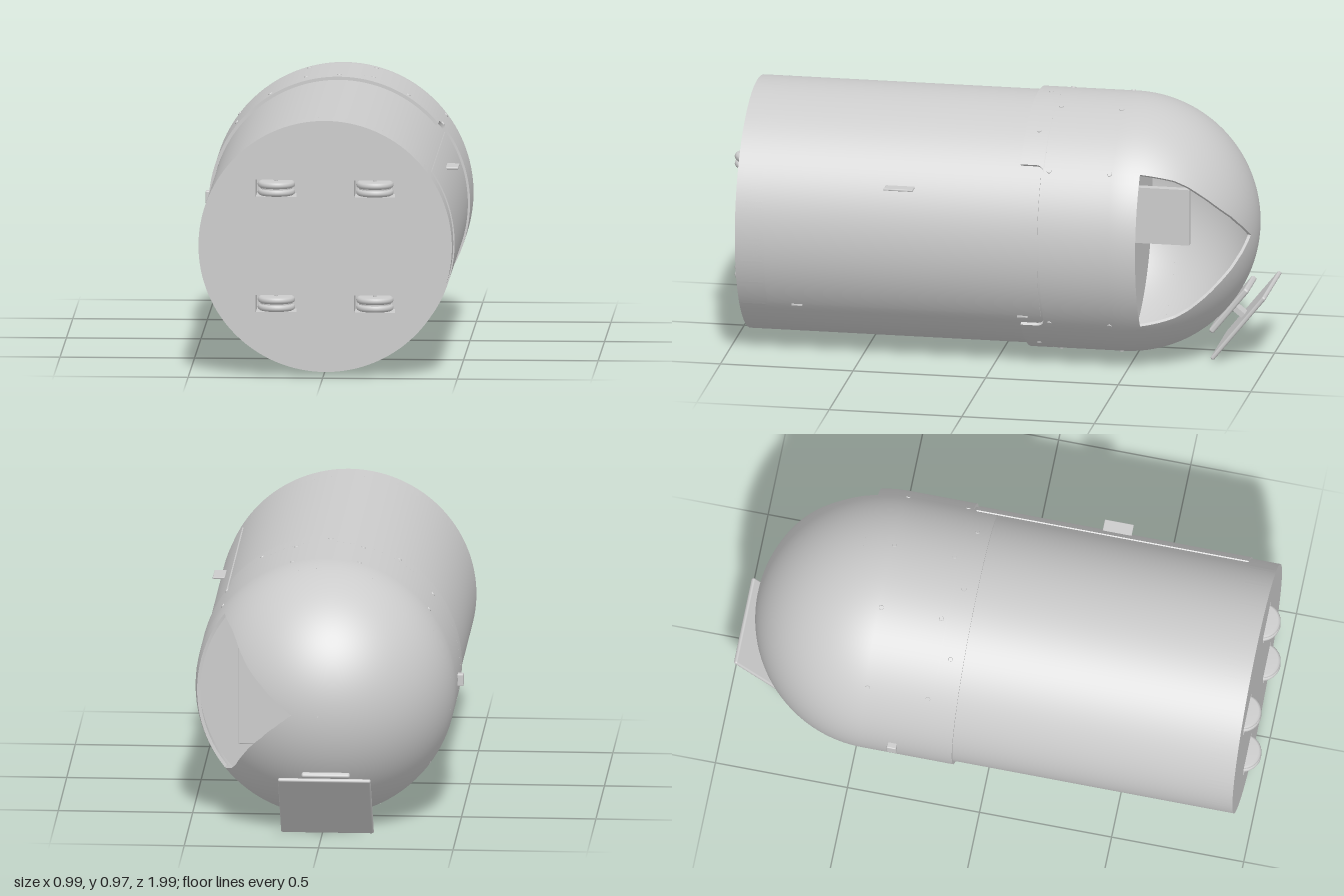
import * as THREE from 'three';
import { RoundedBoxGeometry } from 'three/addons/geometries/RoundedBoxGeometry.js';
import { ParametricGeometry } from 'three/addons/geometries/ParametricGeometry.js';

const BODY_R = 0.471, HOOD_R = 0.484, THICK = 0.012, DOME_Z = -0.457;
const rad = THREE.MathUtils.degToRad, lerp = THREE.MathUtils.lerp;
const material = new THREE.MeshStandardMaterial({ color: 0xcccccc, side: THREE.DoubleSide });

function add(parent, name, geometry, x = 0, y = 0, z = 0) {
  const mesh = new THREE.Mesh(geometry, material);
  mesh.name = name;
  mesh.position.set(x, y, z);
  parent.add(mesh);
  return mesh;
}

// A thick curved sheet: at(u, v, t, target), where t runs from inner (0) to outer (1) face
function sheet(parent, name, at, nu, nv) {
  const group = new THREE.Group();
  group.name = name;
  parent.add(group);
  for (const t of [1, 0]) add(group, name + 'Face', new ParametricGeometry((u, v, p) => at(u, v, t, p), nu, nv));
  for (const e of [0, 1]) {
    add(group, name + 'Rim', new ParametricGeometry((u, t, p) => at(u, e, t, p), nu, 1));
    add(group, name + 'Side', new ParametricGeometry((t, v, p) => at(e, v, t, p), 1, nv));
  }
}

// Part of a tube along z; halfGap(v) is the half angle left open around +x
function tubeSheet(parent, name, z0, z1, halfGap, nv) {
  sheet(parent, name, (u, v, t, p) => {
    const a = halfGap(v), phi = lerp(a, 2 * Math.PI - a, u), r = HOOD_R - THICK * (1 - t);
    p.set(r * Math.cos(phi), r * Math.sin(phi), lerp(z0, z1, v));
  }, 96, nv);
}

// Part of the dome between two polar angles (degrees from the rear pole)
function domeSheet(parent, name, p0, p1, halfGap, nv) {
  sheet(parent, name, (u, v, t, p) => {
    const polar = lerp(p0, p1, v), a = halfGap(polar), phi = lerp(a, 2 * Math.PI - a, u);
    const r = HOOD_R - THICK * (1 - t), s = r * Math.sin(rad(polar));
    p.set(s * Math.cos(phi), s * Math.sin(phi), DOME_Z - r * Math.cos(rad(polar)));
  }, 96, nv);
}

// Half angle of the side opening, tapering towards the pole
const openingKeys = [[12, 0], [15, 9], [20, 17], [29, 25], [45, 33], [55, 37], [62, 38.5], [78, 38.5]];
function openingGap(polar) {
  if (polar <= 12) return 0;
  const i = Math.max(1, openingKeys.findIndex(k => polar <= k[0] + 1e-6));
  const [pa, ga] = openingKeys[i - 1], [pb, gb] = openingKeys[i];
  return rad(lerp(ga, gb, (polar - pa) / (pb - pa)));
}

function zCylinder(r, length, sides = 96, open = false) {
  return new THREE.CylinderGeometry(r, r, length, sides, 1, open).rotateX(Math.PI / 2);
}

function addWheel(parent, x, y) {
  const wheel = new THREE.Group();
  wheel.name = 'wheel';
  wheel.position.set(x, y, 0.931);
  parent.add(wheel);
  const profile = [[0, -0.012], [0.06, -0.012], [0.067, -0.008], [0.07, 0], [0.067, 0.008], [0.06, 0.012], [0, 0.012]]
    .map(p => new THREE.Vector2(...p));
  for (const s of [-1, 1]) add(wheel, 'wheelDisc', new THREE.LatheGeometry(profile, 40), 0, s * 0.0142, 0);
  add(wheel, 'wheelHub', new THREE.CylinderGeometry(0.06, 0.06, 0.01, 32));
  add(wheel, 'wheelAxle', new THREE.CylinderGeometry(0.007, 0.007, 0.064, 12), 0, 0, 0.006);
}

export function createModel() {
  const model = new THREE.Group();
  model.name = 'bin';
  const can = new THREE.Group();
  can.name = 'can';
  can.position.set(0.007, 0.49, 0);
  model.add(can);

  // Body tube, the base plate with wheel pockets, and the inner end panel
  add(can, 'body', zCylinder(BODY_R, 0.95 - DOME_Z, 128, true), 0, 0, (0.95 + DOME_Z) / 2);
  const base = new THREE.Shape().absarc(0, 0, BODY_R, 0, 2 * Math.PI);
  const wheelSpots = [];
  for (const x of [-0.182, 0.184]) for (const y of [-0.215, 0.217]) wheelSpots.push([x, y]);
  for (const [x, y] of wheelSpots) {
    const w = 0.076, h = 0.032;
    base.holes.push(new THREE.Path([[-w, -h], [-w, h], [w, h], [w, -h]].map(c => new THREE.Vector2(x + c[0], y + c[1]))));
    addWheel(can, x, y);
  }
  add(can, 'basePlate', new THREE.ExtrudeGeometry(base, { depth: 0.1, bevelEnabled: false, curveSegments: 64 }), 0, 0, 0.85);
  add(can, 'pocketFloor', new THREE.CircleGeometry(BODY_R, 96), 0, 0, 0.849);
  add(can, 'innerPanel', zCylinder(BODY_R, 0.01), 0, 0, DOME_Z + 0.005);
  add(can, 'innerFlap', new RoundedBoxGeometry(0.27, 0.46, 0.008, 2, 0.003), 0.19, 0, DOME_Z - 0.003);
  add(can, 'innerPlate', new THREE.BoxGeometry(0.03, 0.215, 0.215), -0.06, 0.008, DOME_Z - 0.107);

  // Hood: notched collar, full ring and dome with the side opening
  tubeSheet(can, 'hoodCollar', -0.11, -0.2, v => {
    const d = Math.max(0, (v - 0.67) / 0.33);
    return rad(40 - 4 * (1 - Math.sqrt(1 - Math.min(1, d * d))));
  }, 24);
  tubeSheet(can, 'hoodRing', -0.2, DOME_Z, () => 0, 4);
  domeSheet(can, 'domeBase', 90, 77.7, () => 0, 6);
  domeSheet(can, 'dome', 77.7, 0.3, openingGap, 60);

  // Curved side door with its handle
  sheet(can, 'door', (u, v, t, p) => {
    const phi = lerp(rad(-34.5), rad(34.5), u), r = BODY_R + 0.005 * t;
    p.set(r * Math.cos(phi), r * Math.sin(phi), lerp(-0.19, 0.84, v));
  }, 32, 1);
  add(can, 'doorHandle', new RoundedBoxGeometry(0.05, 0.008, 0.11, 2, 0.003), 0.443, 0.215, 0.335);
  for (const z of [0.73, -0.12]) add(can, 'doorHinge', new THREE.BoxGeometry(0.012, 0.005, 0.04), 0.387, -0.274, z);

  // Rivets, mirrored across both axes
  const rivet = (angle, z) => {
    const a = rad(angle), r = HOOD_R;
    const mesh = add(can, 'rivet', new THREE.CylinderGeometry(0.008, 0.01, 0.006, 12), r * Math.sin(a), r * Math.cos(a), z);
    mesh.rotation.z = -a;
  };
  for (const z of [-0.22, -0.448]) for (const a of [15, 52.5, 127.5, 165]) [a, -a].forEach(b => rivet(b, z));
  for (const a of [0, 32, -32, 148, -148, 180]) rivet(a, -0.16);

  // Lock on the right side
  add(can, 'lock', new RoundedBoxGeometry(0.04, 0.046, 0.036, 2, 0.004), -0.485, -0.002, -0.335);

  // Tilted pedal under the dome
  const pedal = new THREE.Group();
  pedal.name = 'pedal';
  pedal.position.set(-0.02, 0.137, -0.889);
  pedal.rotation.x = 0.896;
  model.add(pedal);
  add(pedal, 'pedalPlate', new RoundedBoxGeometry(0.345, 0.016, 0.32, 3, 0.007));
  add(pedal, 'pedalStem', new THREE.BoxGeometry(0.05, 0.07, 0.02), 0, 0.035, 0);
  add(pedal, 'pedalMount', new RoundedBoxGeometry(0.18, 0.022, 0.22, 3, 0.008), 0, 0.064, 0);
  return model;
}
